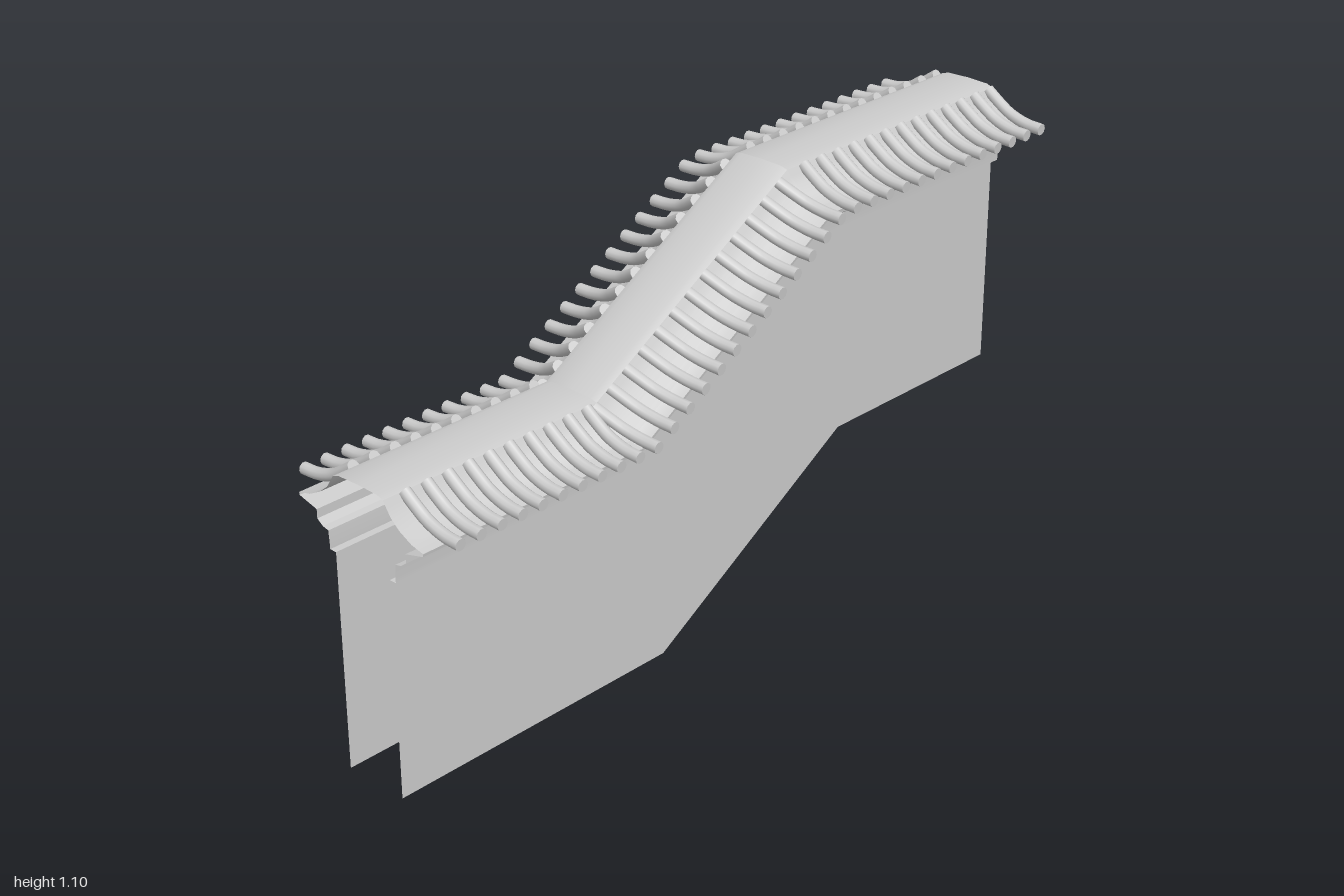
import * as THREE from 'three';
import { toCreasedNormals } from 'three/addons/utils/BufferGeometryUtils.js';

const RISE = 0.366, RUN = 0.62, BEND = -0.19;
const SLOPE = Math.atan2(RISE, RUN);
const MITRE = Math.tan(SLOPE / 2);

const material = new THREE.MeshStandardMaterial({ color: 0xcccccc, side: THREE.DoubleSide });

// The four stations of the stepped wall at height h, with mitred bends
function stations(h) {
  const x = BEND - h * MITRE;
  return [[-1, h], [x, h], [x + RUN, h + RISE], [1, h + RISE]].map(([px, py]) => new THREE.Vector2(px, py));
}

// Sweep a [z, height] profile along the stepped wall
function sweep(name, profile, crease) {
  const positions = [], index = [], n = profile.length;
  const rows = profile.map(([, h]) => stations(h));
  for (let i = 0; i < 4; i++) {
    for (let j = 0; j < n; j++) positions.push(rows[j][i].x, rows[j][i].y, profile[j][0]);
  }
  for (let i = 0; i < 3; i++) {
    for (let j = 0; j < n - 1; j++) {
      const a = i * n + j, b = a + n;
      index.push(a, b, b + 1, a, b + 1, a + 1);
    }
  }
  const geometry = new THREE.BufferGeometry();
  geometry.setAttribute('position', new THREE.Float32BufferAttribute(positions, 3));
  geometry.setIndex(index);
  const mesh = new THREE.Mesh(toCreasedNormals(geometry, crease), material);
  mesh.name = name;
  return mesh;
}

// The same profile on the back, running from top to bottom
const mirrored = (profile) => profile.map(([z, h]) => [-z, h]).reverse();

// Curved round tile with closed ends, at the origin of its roof position
function tileGeometries(side, baseHeight) {
  const points = [[0.245, 0.66], [0.2, 0.663], [0.15, 0.678], [0.113, 0.7], [0.08, 0.723]]
    .map(([z, h]) => new THREE.Vector3(0, h - baseHeight, z * side));
  const curve = new THREE.CatmullRomCurve3(points);
  const radius = 0.0145;
  const caps = [0, 1].map((t) => {
    const cap = new THREE.CircleGeometry(radius, 10);
    const out = curve.getTangent(t).multiplyScalar(t ? 1 : -1);
    cap.applyQuaternion(new THREE.Quaternion().setFromUnitVectors(new THREE.Vector3(0, 0, 1), out));
    const p = curve.getPoint(t);
    return cap.translate(p.x, p.y, p.z);
  });
  return [new THREE.TubeGeometry(curve, 10, radius, 10, false), ...caps];
}

export function createModel() {
  const model = new THREE.Group();
  model.name = 'steppedGardenWall';

  // Two thin wall faces
  const wall = [[0.085, 0], [0.085, 0.54]];
  model.add(sweep('frontWall', wall, 0.1), sweep('backWall', mirrored(wall), 0.1));

  // Stepped mouldings under the eaves
  const cornice = [
    [0.085, 0.54], [0.104, 0.54], [0.104, 0.552], [0.106, 0.584], [0.123, 0.588],
    [0.14, 0.6], [0.14, 0.622], [0.194, 0.636], [0.195, 0.643],
  ];
  model.add(sweep('frontCornice', cornice, 0.3), sweep('backCornice', mirrored(cornice), 0.3));

  // Concave roof with a rounded ridge
  const half = [
    [0.195, 0.643], [0.16, 0.651], [0.125, 0.669], [0.1, 0.69],
    [0.087, 0.709], [0.078, 0.723], [0.06, 0.729],
  ];
  model.add(sweep('roof', [...half, [0, 0.731], ...mirrored(half)], 0.5));

  // Rows of round tiles following the roof line
  const base = 0.66;
  const path = stations(base);
  const lengths = [0, 1, 2].map((i) => path[i].distanceTo(path[i + 1]));
  for (const side of [1, -1]) {
    const row = new THREE.Group();
    row.name = side > 0 ? 'frontTiles' : 'backTiles';
    const parts = tileGeometries(side, base);
    for (let k = 0; k < 36; k++) {
      let s = 0.057 + k * 0.0578, segment = 0;
      while (segment < 2 && s > lengths[segment]) s -= lengths[segment++];
      const p = path[segment].clone().lerp(path[segment + 1], s / lengths[segment]);
      const tile = new THREE.Group();
      tile.name = 'roundTile';
      parts.forEach((g, i) => {
        const mesh = new THREE.Mesh(g, material);
        mesh.name = i ? 'tileEnd' : 'tileBody';
        tile.add(mesh);
      });
      tile.position.set(Math.min(p.x, 0.985), p.y, 0);
      tile.rotation.z = segment === 1 ? SLOPE : 0;
      row.add(tile);
    }
    model.add(row);
  }
  return model;
}
